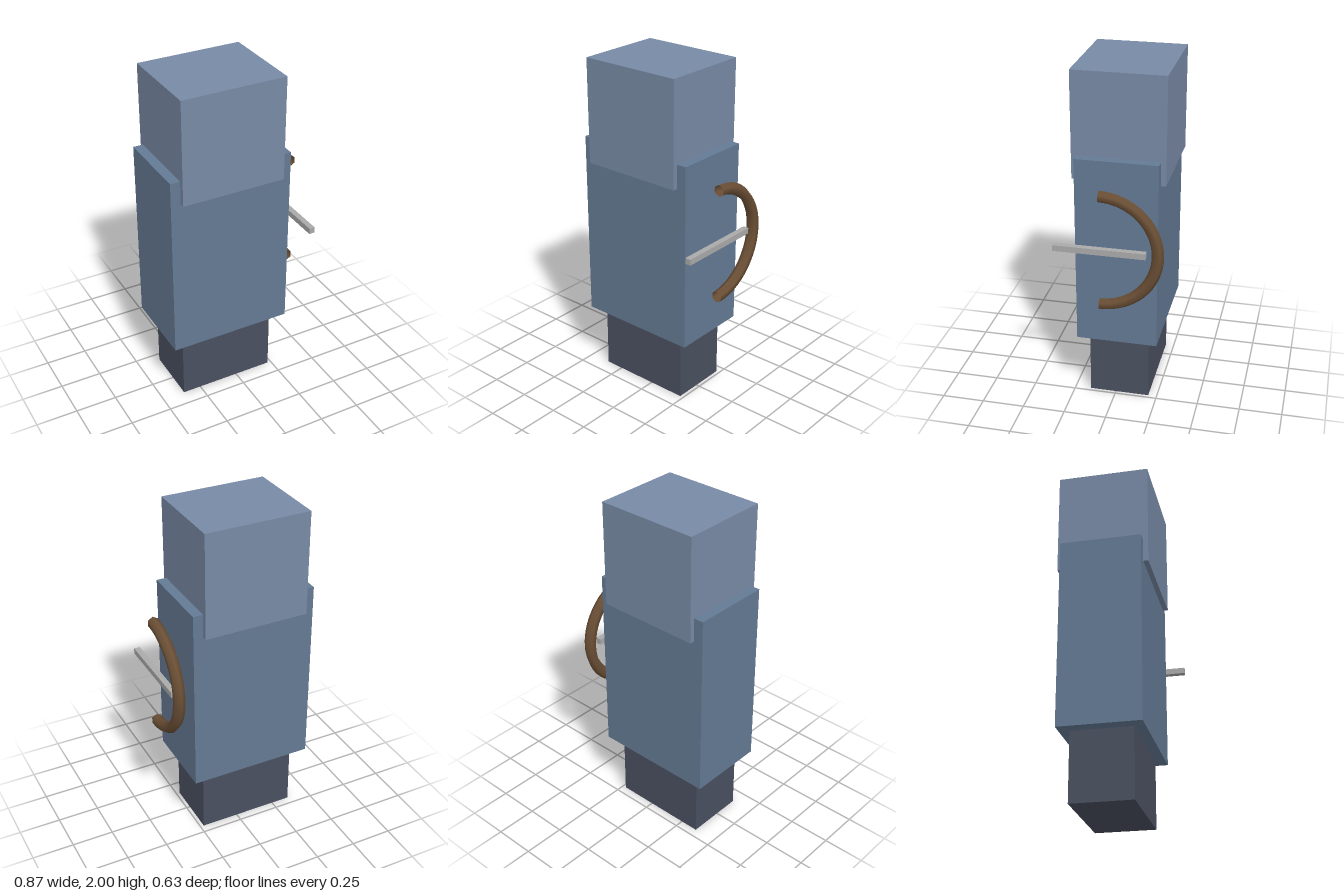
import * as THREE from 'three';

export function createModel() {
  const model = new THREE.Group();
  model.name = 'blockArcher';

  const add = (name, geometry, color, x, y, z, options = {}) => {
    const mesh = new THREE.Mesh(geometry, new THREE.MeshStandardMaterial({ color, ...options }));
    mesh.name = name;
    mesh.position.set(x, y, z);
    model.add(mesh);
    return mesh;
  };
  const box = (name, color, [w, h, d], [x, y, z]) =>
    add(name, new THREE.BoxGeometry(w, h, d), color, x, y, z);

  // Stacked figure: legs, torso and a head that overlaps the torso top
  const cx = -0.067, cz = -0.022;
  box('legs', 0x4a5060, [0.59, 0.4, 0.354], [cx, 0.2, cz]);
  box('torso', 0x647a94, [0.742, 1.12, 0.472], [cx, 0.96, cz]);
  box('head', 0x788aa5, [0.624, 0.62, 0.531], [cx, 1.69, cz]);

  // Bow: open-ended six-sided half ring bulging to the back
  const bow = new THREE.TorusGeometry(0.328, 0.0345, 6, 32, Math.PI);
  bow.rotateZ(-Math.PI / 2).rotateY(Math.PI / 2);
  add('bow', bow, 0x6b4f35, 0.405, 1.03, 0.05, { side: THREE.DoubleSide });

  // Arrow lying across the bow
  box('arrow', 0xaaaaaa, [0.035, 0.035, 0.525], [0.405, 1.03, 0.051]);

  return model;
}
